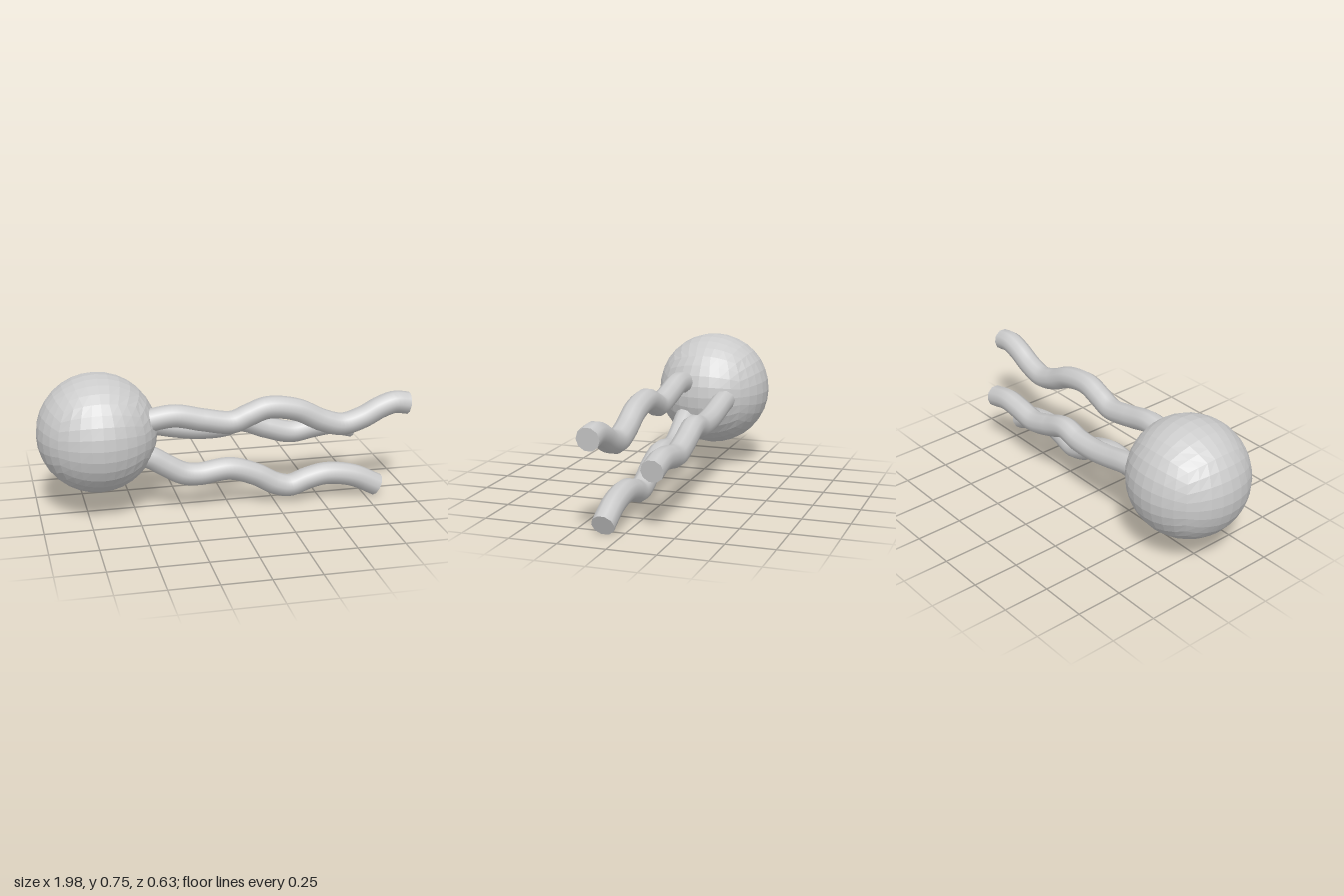
import * as THREE from 'three';

const material = new THREE.MeshStandardMaterial({ color: 0xcccccc });
const facetedMaterial = new THREE.MeshStandardMaterial({ color: 0xcccccc, flatShading: true });

const TUBE_RADIUS = 0.06;
const SIDES = 10;

// Centre lines in the x-y plane; each strand lies at one depth z
const strands = [
  {
    name: 'upperTentacle', z: 0.094,
    path: [[-0.5, 0.5], [-0.4, 0.523], [-0.29, 0.533], [-0.14, 0.5], [0.01, 0.477], [0.1, 0.51], [0.2, 0.543],
      [0.36, 0.52], [0.5, 0.452], [0.61, 0.422], [0.72, 0.45], [0.82, 0.5], [0.9, 0.524], [0.976, 0.514]],
  },
  {
    name: 'middleTentacle', z: -0.135,
    path: [[-0.48, 0.435], [-0.37, 0.42], [-0.25, 0.395], [-0.13, 0.377], [0, 0.377], [0.115, 0.4],
      [0.25, 0.354], [0.39, 0.317], [0.51, 0.335], [0.62, 0.347], [0.743, 0.322]],
  },
  {
    name: 'lowerTentacle', z: 0.088,
    path: [[-0.5, 0.34], [-0.42, 0.312], [-0.34, 0.262], [-0.25, 0.212], [-0.17, 0.2], [0, 0.217], [0.14, 0.173],
      [0.25, 0.112], [0.33, 0.094], [0.425, 0.125], [0.53, 0.145], [0.68, 0.122], [0.82, 0.055]],
  },
];

// Ball made from a subdivided cube pushed out to a sphere
function createBody() {
  const geometry = new THREE.BoxGeometry(2, 2, 2, 8, 8, 8);
  const position = geometry.attributes.position;
  const v = new THREE.Vector3();
  const even = (t) => Math.tan((t * Math.PI) / 4);
  for (let i = 0; i < position.count; i++) {
    v.fromBufferAttribute(position, i);
    v.set(even(v.x), even(v.y), even(v.z)).setLength(0.313);
    position.setXYZ(i, v.x, v.y, v.z);
  }
  geometry.computeVertexNormals();
  const body = new THREE.Mesh(geometry, facetedMaterial);
  body.name = 'body';
  body.position.set(-0.687, 0.443, 0);
  return body;
}

// Wavy ten-sided tube with a flat cap at each end
function createTentacle({ name, z, path }) {
  const tentacle = new THREE.Group();
  tentacle.name = name;
  const curve = new THREE.CatmullRomCurve3(path.map(([x, y]) => new THREE.Vector3(x, y, z)));
  const tube = new THREE.Mesh(new THREE.TubeGeometry(curve, 72, TUBE_RADIUS, SIDES), material);
  tube.name = name + 'Tube';
  tentacle.add(tube);

  const across = new THREE.Vector3(0, 0, 1);
  for (const t of [0, 1]) {
    const outward = curve.getTangentAt(t).multiplyScalar(t ? 1 : -1);
    const up = new THREE.Vector3().crossVectors(outward, across);
    const cap = new THREE.Mesh(new THREE.CircleGeometry(TUBE_RADIUS, SIDES), material);
    cap.name = name + (t ? 'Tip' : 'Root');
    cap.quaternion.setFromRotationMatrix(new THREE.Matrix4().makeBasis(across, up, outward));
    cap.position.copy(curve.getPointAt(t));
    tentacle.add(cap);
  }
  return tentacle;
}

export function createModel() {
  const model = new THREE.Group();
  model.name = 'tentacledBall';
  model.add(createBody());
  for (const strand of strands) model.add(createTentacle(strand));
  return model;
}
